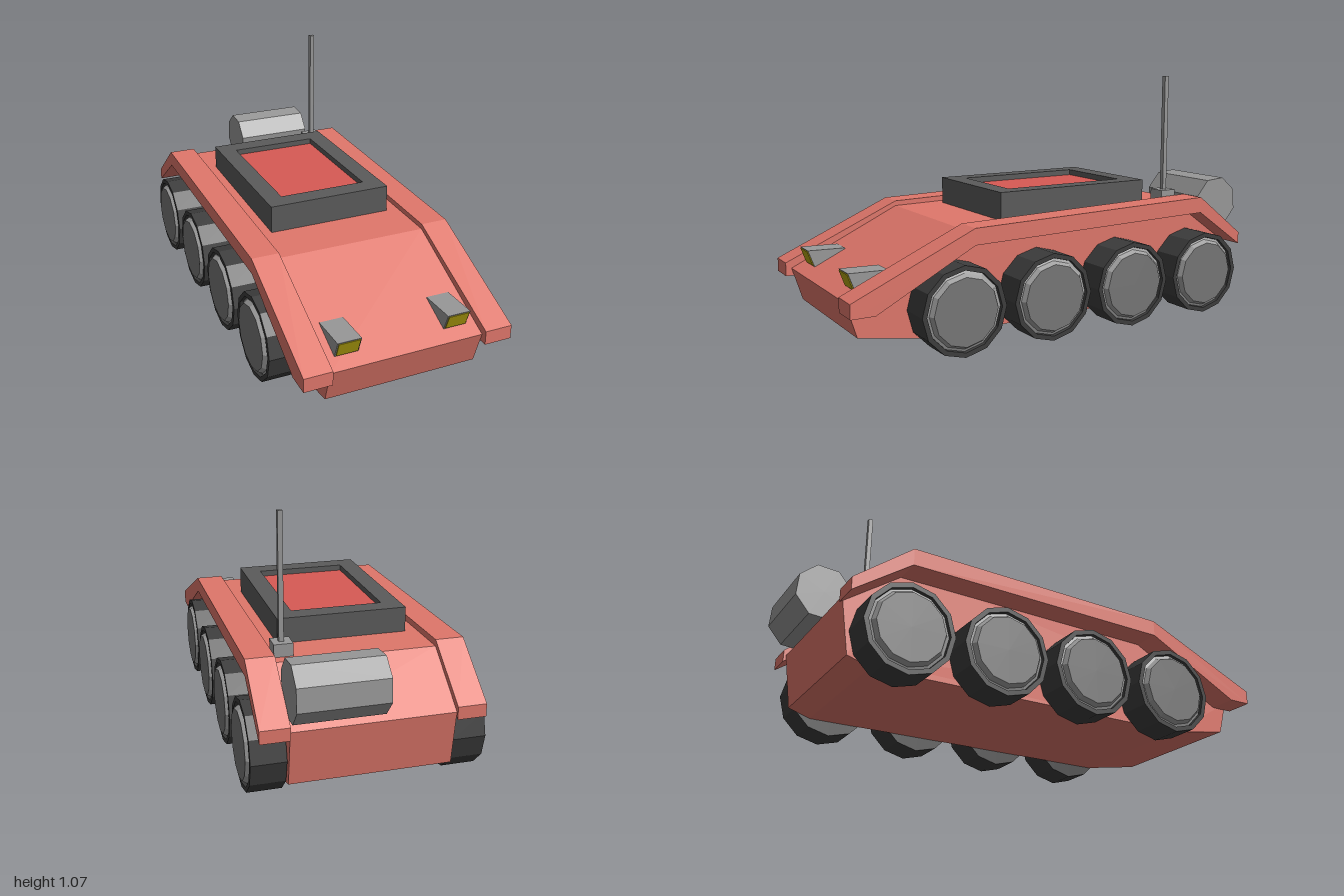
import * as THREE from 'three';

const paint = (color) => new THREE.MeshStandardMaterial({ color, flatShading: true });
const RED = paint(0xe0776b), PANEL = paint(0xd85a54), FRAME = paint(0x5b5b5b), TIRE = paint(0x3d3d3d);
const RIM = paint(0xa0a0a0), HUB = paint(0x777777), METAL = paint(0x999999), LAMP = paint(0xb5a50f);

function add(parent, name, geometry, material, x = 0, y = 0, z = 0) {
  const mesh = new THREE.Mesh(geometry, material);
  mesh.name = name;
  mesh.position.set(x, y, z);
  parent.add(mesh);
  return mesh;
}

// Side profile of [z, y] points, extruded across x and centred on x = 0
function sideExtrude(points, width) {
  const shape = new THREE.Shape(points.map(([z, y]) => new THREE.Vector2(z, y)));
  const geometry = new THREE.ExtrudeGeometry(shape, { depth: width, bevelEnabled: false });
  return geometry.translate(0, 0, -width / 2).rotateY(-Math.PI / 2);
}

// Twelve-sided ring profile of [radius, x] points, turned around the x axis
function axleLathe(points) {
  const profile = points.map(([r, x]) => new THREE.Vector2(r, x));
  return new THREE.LatheGeometry(profile, 12).rotateZ(-Math.PI / 2);
}

function createWheel() {
  const wheel = new THREE.Group();
  wheel.name = 'wheel';
  add(wheel, 'tire', axleLathe([[0, -0.07], [0.185, -0.07], [0.185, 0.07], [0.165, 0.07], [0.163, 0.055]]), TIRE);
  add(wheel, 'rim', axleLathe([[0.164, 0.055], [0.152, 0.06], [0.14, 0.08]]), RIM);
  add(wheel, 'hub', axleLathe([[0.14, 0.08], [0, 0.08]]), HUB);
  return wheel;
}

function createHeadlight() {
  const light = new THREE.Group();
  light.name = 'headlight';
  add(light, 'housing', sideExtrude([[0.915, 0.27], [0.945, 0.35], [0.78, 0.345], [0.78, 0.3]], 0.1), METAL);
  add(light, 'lens', sideExtrude([[0.92, 0.282], [0.924, 0.282], [0.947, 0.345], [0.94, 0.345]], 0.09), LAMP);
  return light;
}

export function createModel() {
  const model = new THREE.Group();
  model.name = 'armouredVehicle';

  // Hull
  add(model, 'hull', sideExtrude([
    [0.66, 0.06], [0.93, 0.105], [0.975, 0.25], [0.48, 0.483],
    [-0.68, 0.503], [-0.91, 0.32], [-0.875, 0.09], [-0.78, 0.06],
  ], 0.654), RED);

  // Fenders, headlights and wheels on both sides
  const fender = sideExtrude([
    [0.9, 0.217], [1, 0.217], [1, 0.276], [0.48, 0.505], [-0.68, 0.53],
    [-0.92, 0.345], [-0.92, 0.292], [-0.68, 0.46], [0.48, 0.437],
  ], 0.118);
  for (const side of [1, -1]) {
    add(model, side > 0 ? 'leftFender' : 'rightFender', fender, RED, side * 0.386);
    const light = createHeadlight();
    light.position.x = side * 0.235;
    model.add(light);
    for (const z of [0.54, 0.13, -0.28, -0.69]) {
      const wheel = createWheel();
      wheel.position.set(side * 0.4, 0.185, z);
      if (side < 0) wheel.rotation.y = Math.PI;
      model.add(wheel);
    }
  }

  // Roof hatch: raised frame around a sunken panel
  const rect = (Type, w, h) => new Type([[-w, -h], [w, -h], [w, h], [-w, h]].map(([x, y]) => new THREE.Vector2(x, y)));
  const frame = rect(THREE.Shape, 0.273, 0.373);
  frame.holes.push(rect(THREE.Path, 0.194, 0.29));
  const frameGeometry = new THREE.ExtrudeGeometry(frame, { depth: 0.135, bevelEnabled: false }).rotateX(-Math.PI / 2);
  add(model, 'hatchFrame', frameGeometry, FRAME, -0.002, 0.47, -0.107);
  add(model, 'hatchPanel', new THREE.BoxGeometry(0.39, 0.1, 0.582), PANEL, -0.002, 0.53, -0.107);

  // Antenna
  add(model, 'antennaBase', new THREE.BoxGeometry(0.078, 0.07, 0.076), METAL, 0.281, 0.52, -0.592);
  add(model, 'antennaRod', new THREE.BoxGeometry(0.02, 0.53, 0.02), METAL, 0.283, 0.807, -0.592);

  // Rear drum
  const drum = new THREE.CylinderGeometry(0.122, 0.122, 0.357, 8, 1, false, Math.PI / 8).rotateZ(Math.PI / 2);
  add(model, 'rearDrum', drum, METAL, 0.147, 0.473, -0.884).rotation.x = 0.08;

  return model;
}
